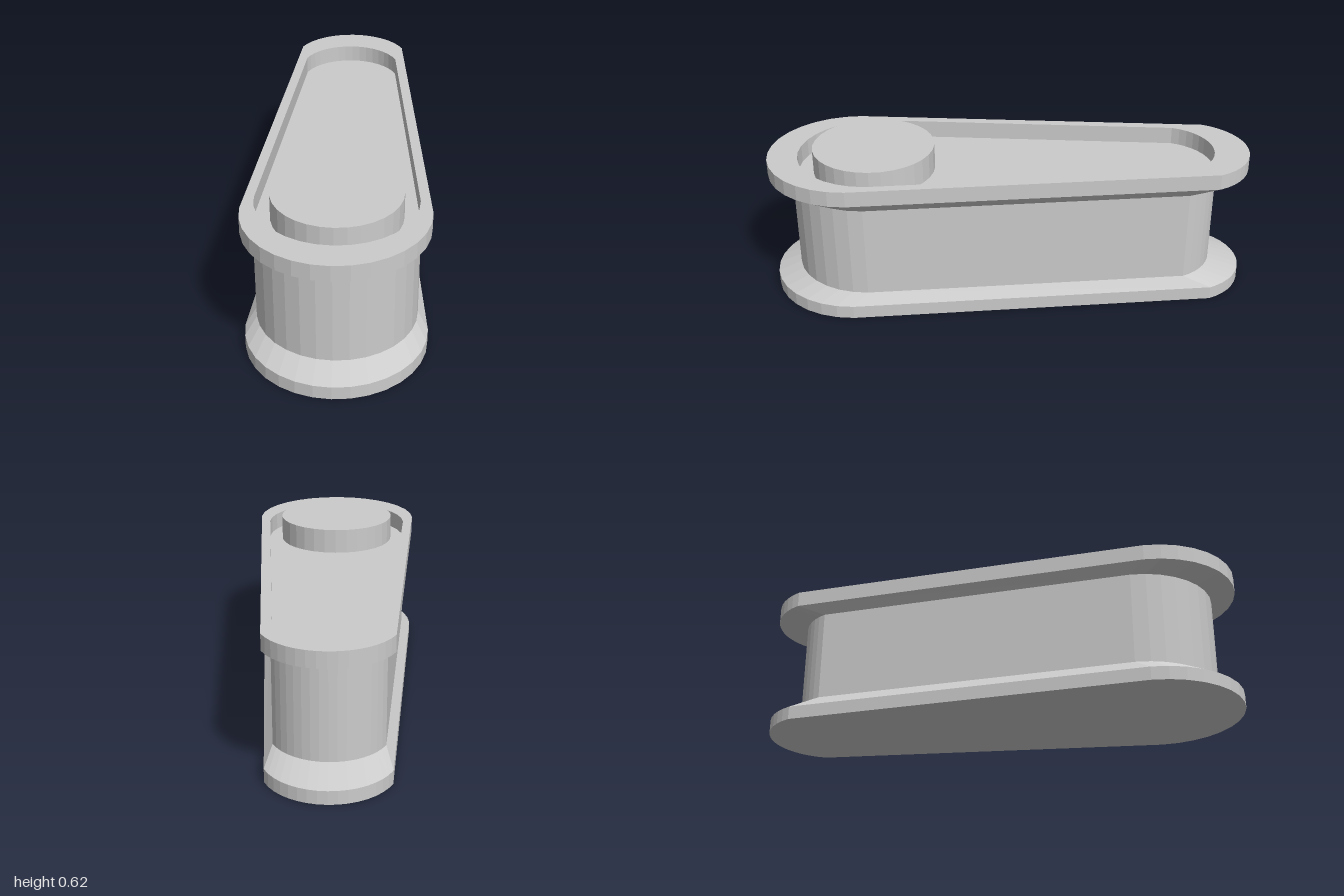
import * as THREE from 'three';

const SEG = 16;

// Circular arc bulging from the chord (-w..w at z = chord) to the tip, listed from +x to -x
function arc(w, chord, tip) {
  const s = Math.abs(tip - chord), dir = Math.sign(tip - chord);
  const r = (w * w + s * s) / (2 * s), half = Math.atan2(w, r - s);
  const pts = [];
  for (let i = 0; i <= SEG; i++) {
    const a = half - (2 * half * i) / SEG;
    pts.push([r * Math.sin(a), tip - dir * r * (1 - Math.cos(a))]);
  }
  return pts;
}

// Tapered outline: wide rounded front end, narrower rounded back end
const outline = (front, back) => [...arc(...front), ...arc(...back).reverse()];

// Skin through rings [outline, y], closed at both ends
function loft(rings) {
  const pos = [];
  const tri = (...ps) => ps.forEach((p) => pos.push(...p));
  const loops = rings.map(([pts, y]) => pts.map(([x, z]) => [x, y, z]));
  const n = loops[0].length;
  const first = loops[0], last = loops[loops.length - 1];
  for (let i = 0; i < n; i++) {
    const j = (i + 1) % n;
    for (let k = 0; k + 1 < loops.length; k++) {
      const lo = loops[k], hi = loops[k + 1];
      tri(lo[i], hi[j], lo[j]);
      tri(lo[i], hi[i], hi[j]);
    }
    tri([0, first[0][1], 0], first[i], first[j]);
    tri([0, last[0][1], 0], last[j], last[i]);
  }
  const geo = new THREE.BufferGeometry();
  geo.setAttribute('position', new THREE.Float32BufferAttribute(pos, 3));
  geo.computeVertexNormals();
  return geo;
}

export function createModel() {
  const group = new THREE.Group();
  const material = new THREE.MeshStandardMaterial({ color: 0xcccccc, flatShading: true });
  const add = (name, geo) => {
    const mesh = new THREE.Mesh(geo, material);
    mesh.name = name;
    group.add(mesh);
    return mesh;
  };

  const flange = outline([0.355, 0.645, 1], [0.237, -0.845, -1]);
  const waist = outline([0.315, 0.585, 0.9], [0.212, -0.73, -0.867]);
  const recess = outline([0.31, 0.565, 0.875], [0.207, -0.71, -0.855]);
  const floorY = 0.515;

  // Body: bottom flange, waist, top flange and sunken top in one skin
  add('body', loft([
    [flange, 0], [flange, 0.055], [waist, 0.098], [waist, 0.482],
    [flange, 0.523], [flange, 0.588], [recess, 0.588], [recess, floorY],
  ]));

  // Round boss standing on the recess floor
  const h = 0.62 - floorY;
  add('boss', new THREE.CylinderGeometry(0.252, 0.252, h, 32)).position.set(0, floorY + h / 2, 0.56);

  return group;
}
